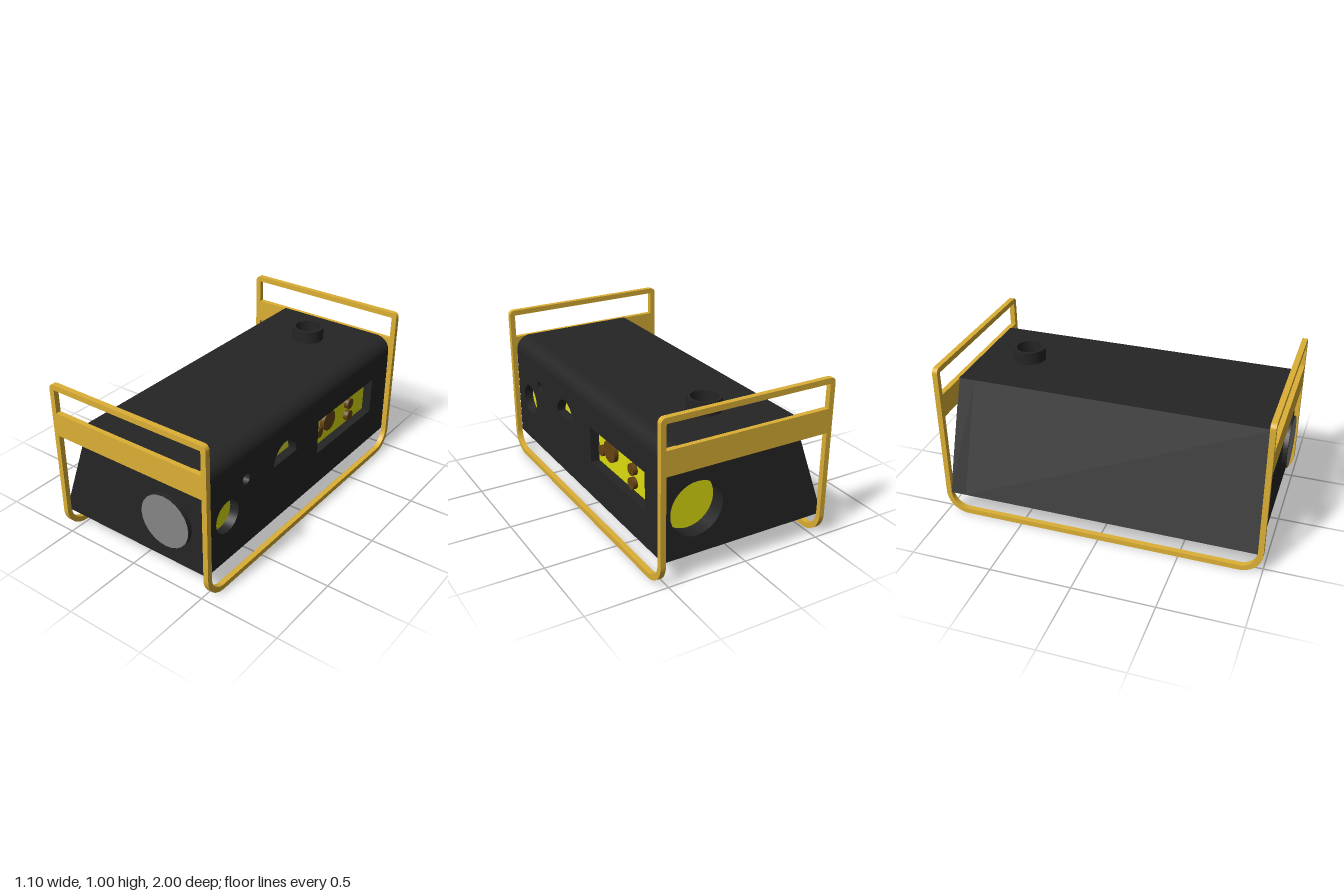
import * as THREE from 'three';
import { toCreasedNormals } from 'three/addons/utils/BufferGeometryUtils.js';

const BLACK = 0x252525, GOLD = 0xdcb035, YELLOW = 0xdede10, PALE = 0xdddd33, BROWN = 0x664410;
const RIGHT = 0.515, BOTTOM = 0.138, TOP = 0.82, END = 0.97; // body limits
const CORNER = 0.09, SIDE_DEPTH = 0.06, BACK_DEPTH = 0.1;
const T = 0.033; // frame bar thickness

export function createModel() {
  const model = new THREE.Group();

  const add = (name, geometry, color, x = 0, y = 0, z = 0, ry = 0) => {
    const mesh = new THREE.Mesh(geometry, new THREE.MeshStandardMaterial({ color }));
    mesh.name = name;
    mesh.position.set(x, y, z);
    mesh.rotation.y = ry;
    model.add(mesh);
    return mesh;
  };
  const extrude = (shape, depth) => toCreasedNormals(
    new THREE.ExtrudeGeometry(shape, { depth, bevelEnabled: false, curveSegments: 16 }), 0.6);
  const rect = (C, x0, y0, x1, y1) => {
    const s = new C();
    s.moveTo(x0, y0); s.lineTo(x1, y0); s.lineTo(x1, y1); s.lineTo(x0, y1); s.closePath();
    return s;
  };
  const arc = (C, x, y, r, end = Math.PI * 2) => {
    const s = new C();
    s.absarc(x, y, r, 0, end, false);
    s.closePath();
    return s;
  };

  // Body profile: sloped left side, rounded top right edge, optional notch for the side panel
  const profile = (notch) => {
    const s = new THREE.Shape();
    s.moveTo(-0.55, BOTTOM);
    s.lineTo(RIGHT - notch, BOTTOM);
    if (notch) s.lineTo(RIGHT - notch, TOP - CORNER);
    s.lineTo(RIGHT, TOP - CORNER);
    s.absarc(RIGHT - CORNER, TOP - CORNER, CORNER, 0, Math.PI / 2, false);
    s.lineTo(-0.3, TOP);
    s.closePath();
    return s;
  };
  const backInner = -END + BACK_DEPTH;
  add('bodyCore', extrude(profile(SIDE_DEPTH), END - backInner), BLACK, 0, 0, backInner);

  // Back plate with a round port
  const backShape = profile(0);
  backShape.holes.push(arc(THREE.Path, 0.31, 0.415, 0.165));
  add('backPlate', extrude(backShape, BACK_DEPTH), BLACK, 0, 0, -END);
  add('backPortFace', new THREE.CircleGeometry(0.17, 32), YELLOW, 0.31, 0.415, backInner - 0.004, Math.PI);

  // Side panel with recessed openings; shape x runs along -z
  const openings = [
    ['largeRoundFace', YELLOW, (C) => arc(C, -0.78, 0.43, 0.1)],
    ['smallRoundFace', PALE, (C) => arc(C, -0.61, 0.583, 0.033)],
    ['halfRoundFace', PALE, (C) => arc(C, -0.227, 0.515, 0.115, Math.PI)],
    ['controlPanelFace', YELLOW, (C) => rect(C, 0.125, 0.365, 0.773, 0.595)],
  ];
  const side = rect(THREE.Shape, -END, BOTTOM, -backInner, TOP - CORNER);
  const floorX = RIGHT - SIDE_DEPTH;
  for (const [name, color, make] of openings) {
    side.holes.push(make(THREE.Path));
    add(name, new THREE.ShapeGeometry(make(THREE.Shape), 20), color, floorX + 0.003, 0, 0, Math.PI / 2);
  }
  add('sidePanel', extrude(side, SIDE_DEPTH), BLACK, floorX, 0, 0, Math.PI / 2);

  // Control knobs inside the rectangular opening
  for (const [z, y, r] of [[-0.2, 0.465, 0.033], [-0.305, 0.505, 0.067], [-0.56, 0.505, 0.035], [-0.56, 0.418, 0.035]]) {
    const knob = new THREE.CylinderGeometry(r, r, 0.03, 24).rotateZ(-Math.PI / 2);
    add('controlKnob', knob, BROWN, floorX + 0.016, y, z);
  }

  // Raised round cover on the front
  add('frontCoverRim', new THREE.CylinderGeometry(0.165, 0.165, 0.03, 24).rotateX(Math.PI / 2), BLACK, 0.256, 0.415, END + 0.013);
  add('frontCoverFace', new THREE.CircleGeometry(0.165, 24), 0x858585, 0.256, 0.415, END + 0.03);

  // Hollow filler neck on top
  const neck = [[0.1, 0.81], [0.1, 0.9], [0.08, 0.9], [0.08, 0.82]].map(([r, y]) => new THREE.Vector2(r, y));
  add('fillerNeck', toCreasedNormals(new THREE.LatheGeometry(neck, 32), 0.6), BLACK, 0.078, 0, -0.665);
  add('fillerFloor', new THREE.CircleGeometry(0.082, 32).rotateX(-Math.PI / 2), 0x111111, 0.078, 0.824, -0.665);

  // U-shaped side rails with rounded lower corners
  const bandY = 0.67, R = 0.14, r = R - T;
  const u = new THREE.Shape();
  u.moveTo(-1, bandY);
  u.lineTo(-1, R);
  u.absarc(-1 + R, R, R, Math.PI, Math.PI * 1.5, false);
  u.lineTo(1 - R, 0);
  u.absarc(1 - R, R, R, -Math.PI / 2, 0, false);
  u.lineTo(1, bandY);
  u.lineTo(1 - T, bandY);
  u.lineTo(1 - T, R);
  u.absarc(1 - R, R, r, 0, -Math.PI / 2, true);
  u.lineTo(-1 + R, T);
  u.absarc(-1 + R, R, r, Math.PI * 1.5, Math.PI, true);
  u.lineTo(-1 + T, bandY);
  u.closePath();
  for (const x of [-0.55, 0.55 - T]) add('sideRail', extrude(u, T), GOLD, x, 0, 0, Math.PI / 2);

  // End frames: wide band, handle opening and rounded top bar
  const w = 0.55, c = 0.03;
  const end = new THREE.Shape();
  end.moveTo(-w, bandY);
  end.lineTo(w, bandY);
  end.lineTo(w, 1 - c);
  end.absarc(w - c, 1 - c, c, 0, Math.PI / 2, false);
  end.lineTo(-w + c, 1);
  end.absarc(-w + c, 1 - c, c, Math.PI / 2, Math.PI, false);
  end.closePath();
  end.holes.push(rect(THREE.Path, -w + T, 0.818, w - T, 0.966));
  for (const z of [-1, 1 - T]) add('endFrame', extrude(end, T), GOLD, 0, 0, z);

  return model;
}
